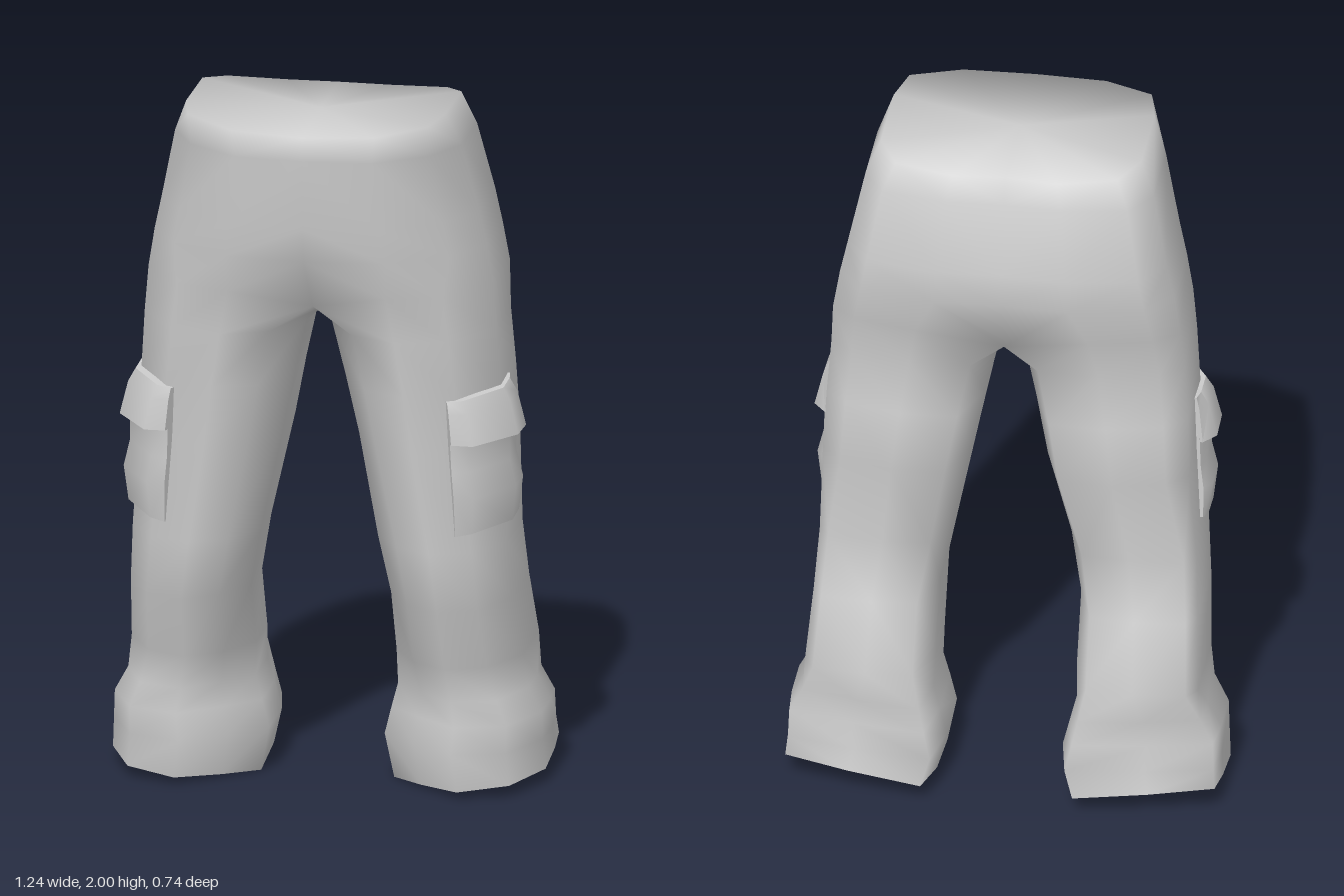
import * as THREE from 'three';
import { toCreasedNormals } from 'three/addons/utils/BufferGeometryUtils.js';

// unit outlines [across 0..1, depth -1..1], from the front round the outside to the back
const RIM = [[0, 1], [.55, .94], [.93, .66], [1, .25], [1, -.6], [.85, -.9], [.4, -1], [0, -.97]];
const HIP = [[0, 1], [.48, .94], [.83, .6], [1, .15], [1, -.6], [.85, -.9], [.4, -1], [0, -.97]];
const LEG = [[.18, .76], [.46, .98], [.77, .8], [1, .2], [1, -.64], [.86, -.84], [.5, -.97], [.13, -.95], [0, -.4], [0, .25]];
const KNEE = [[.2, .74], [.48, .98], [.79, .8], [1, .22], [1, -.77], [.92, -.95], [.5, -1], [.13, -.95], [0, -.4], [0, .25]];
const CUFF = [[.22, .62], [.5, .98], [.83, .8], [1, .18], [1, -.35], [.98, -.74], [.55, -.9], [.06, -1], [0, -.45], [0, .27]];

function ring(outline, y, xi, xo, zf, zb) {
  return outline.map(([u, v]) => [xi + (xo - xi) * u, y, (zf + zb) / 2 + v * (zf - zb) / 2]);
}

// collects triangles for the +x side and mirrors them when side is -1
function builder(side) {
  const pos = [];
  const tri = (a, b, c) => {
    for (const p of side > 0 ? [a, b, c] : [a, c, b]) pos.push(p[0] * side, p[1], p[2]);
  };
  const band = (top, bottom, closed) => {
    const n = closed ? top.length : 7;
    for (let i = 0; i < n; i++) {
      const j = closed ? (i + 1) % n : i + 1;
      tri(top[i], bottom[i], bottom[j]);
      tri(top[i], bottom[j], top[j]);
    }
  };
  const fan = (r, up) => {
    const c = [0, 1, 2].map(k => r.reduce((s, p) => s + p[k], 0) / r.length);
    r.forEach((p, i) => {
      const q = r[(i + 1) % r.length];
      up ? tri(c, p, q) : tri(c, q, p);
    });
  };
  return { pos, tri, band, fan };
}

function toMesh(name, pos, material, crease) {
  const g = new THREE.BufferGeometry();
  g.setAttribute('position', new THREE.Float32BufferAttribute(pos, 3));
  const mesh = new THREE.Mesh(toCreasedNormals(g, crease), material);
  mesh.name = name;
  return mesh;
}

// bottom edge of the cuff, rising to the outside and the back
function hemRing() {
  const hem = ring(CUFF, 0, .19, .618, .17, -.367);
  hem.forEach((p, i) => { p[1] = .04 * CUFF[i][0] + .15 * Math.max(0, -p[2] - .05); });
  return hem;
}

function hemCap(side) {
  const b = builder(side);
  b.fan(hemRing(), false);
  return b.pos;
}

function trouserHalf(side) {
  const b = builder(side);
  // waist and hips: open half rings meeting on the centre line
  const hips = [
    ring(RIM, 2, 0, .37, .37, -.205),
    ring(HIP, 1.9, 0, .41, .367, -.235),
    ring(HIP, 1.7, 0, .453, .357, -.29),
    ring(HIP, 1.6, 0, .475, .342, -.287)
  ];
  hips[0].forEach((p, i) => { p[1] -= .03 * RIM[i][1] ** 4; });
  // crotch: ring closed along the centre line
  const crotch = ring(LEG, 1.49, 0, .493, .305, -.277);
  crotch[0] = [0, 1.43, .2];
  crotch[7] = [0, 1.43, -.22];
  crotch[8] = [0, 1.39, -.09];
  crotch[9] = [0, 1.39, .07];
  // leg down to the flared cuff
  const legs = [
    crotch,
    ring(LEG, 1.36, .036, .502, .298, -.237),
    ring(LEG, 1.2, .073, .513, .29, -.257),
    ring(LEG, 1.03, .108, .52, .28, -.283),
    ring(KNEE, .74, .167, .535, .27, -.195),
    ring(KNEE, .57, .2, .545, .265, -.247),
    ring(KNEE, .38, .2, .558, .18, -.325),
    ring(CUFF, .28, .203, .572, .165, -.332),
    ring(CUFF, .21, .185, .61, .178, -.343),
    ring(CUFF, .13, .165, .613, .18, -.353),
    hemRing()
  ];
  for (let i = 0; i < 3; i++) b.band(hips[i], hips[i + 1], false);
  b.band(hips[3], crotch, false);
  for (let i = 0; i < legs.length - 1; i++) b.band(legs[i], legs[i + 1], true);
  // waist top, shaded smoothly into the walls
  const middle = [0, 1.978, .08];
  for (let i = 0; i < 7; i++) b.tri(middle, hips[0][i], hips[0][i + 1]);
  return b.pos;
}

// pocket path on the leg surface: x, z, outward direction and share of the bulge
const PATH = [
  [.397, .25, .4, .9, .5], [.435, .228, .65, .75, 1], [.52, .088, .95, .4, 1],
  [.52, 0, 1, 0, 1], [.52, -.038, 1, 0, .3]
];

// rows are [height, bulge, rise at the back end]
function pocketPart(side, rows) {
  const b = builder(side);
  const rings = rows.map(([y, bulge, rise]) => {
    const at = d => PATH.map(([x, z, nx, nz, share], i) => [
      x + nx * d * share + (1.1 - y) * .05,
      y + rise * i / 4,
      z + nz * d * share - (1.1 - y) * .04
    ]);
    return [...at(bulge), ...at(-.03).reverse()];
  });
  for (let i = 0; i < rings.length - 1; i++) b.band(rings[i], rings[i + 1], true);
  b.fan(rings[0], true);
  b.fan(rings[rings.length - 1], false);
  return b.pos;
}

export function createModel() {
  const group = new THREE.Group();
  group.name = 'trousers';
  const cloth = new THREE.MeshStandardMaterial({ color: 0xcccccc });
  cloth.name = 'light grey cloth';

  group.add(toMesh('trouserBody', [...trouserHalf(1), ...trouserHalf(-1)], cloth, Math.PI));

  for (const side of [1, -1]) {
    const label = side > 0 ? 'left' : 'right';
    const pocket = new THREE.Group();
    pocket.name = label + 'Pocket';
    pocket.add(
      toMesh('pocketFlap', pocketPart(side, [[1.185, .01, .012], [1.15, .03, .01], [1.065, .05, -.01]]), cloth, 1),
      toMesh('pocketBag', pocketPart(side, [[1.08, .022, 0], [.98, .018, 0], [.9, .032, .01], [.79, .014, .025]]), cloth, 1)
    );
    group.add(toMesh(label + 'Hem', hemCap(side), cloth, 1), pocket);
  }
  return group;
}
